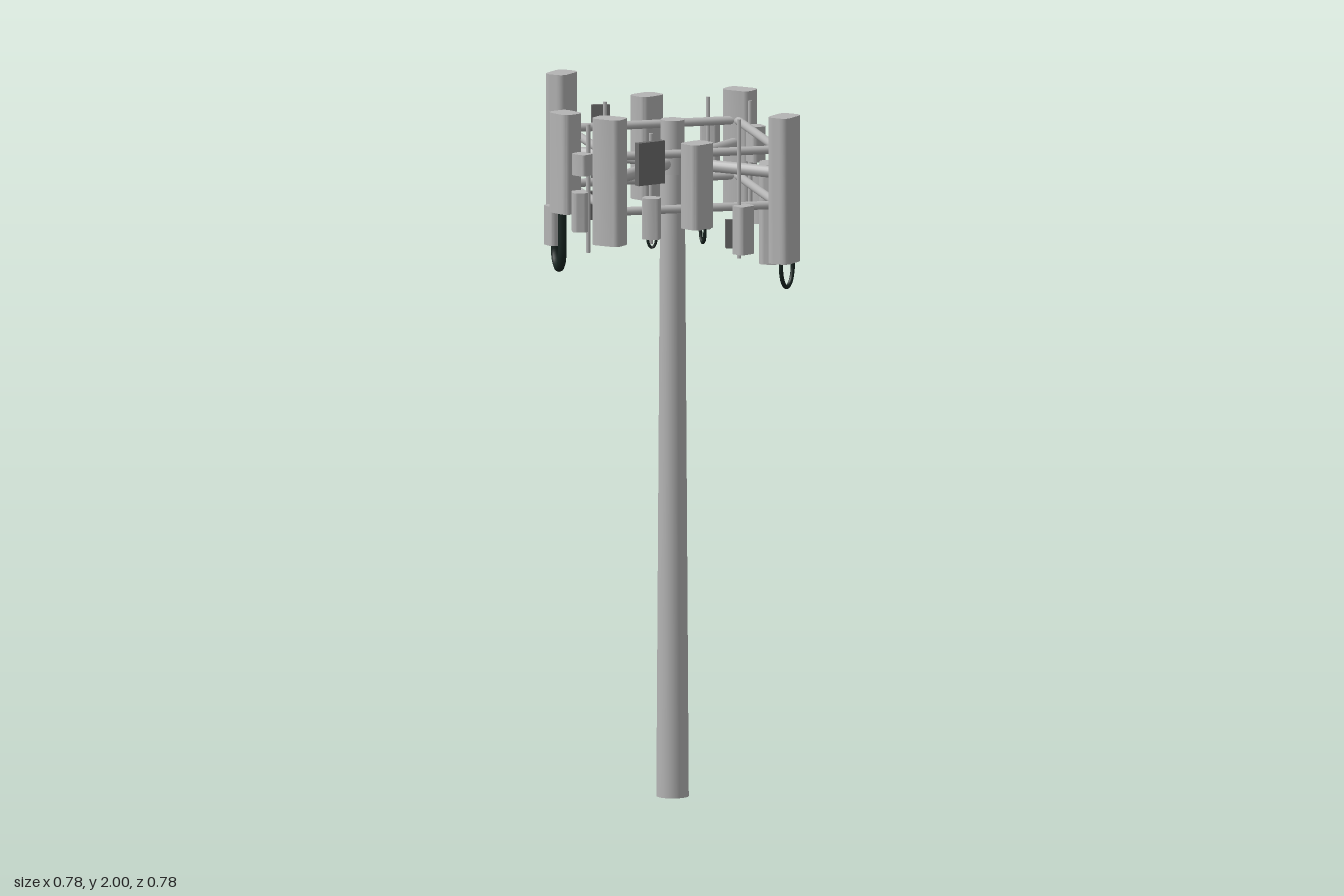
import * as THREE from 'three';
import { toCreasedNormals } from 'three/addons/utils/BufferGeometryUtils.js';

export function createModel() {
  const model = new THREE.Group();
  model.name = 'antennaMast';
  const mat = (name, color) => {
    const m = new THREE.MeshStandardMaterial({ color });
    m.name = name;
    return m;
  };
  const steel = mat('lightGreySteel', 0xb4b4b4);
  const dark = mat('darkGreyUnit', 0x6c6c6c);
  const rubber = mat('blackCable', 0x16231f);
  const rad = THREE.MathUtils.degToRad;

  const add = (name, geometry, material) => {
    const mesh = new THREE.Mesh(geometry, material);
    mesh.name = name;
    model.add(mesh);
    return mesh;
  };

  // Round bar between two points
  const bar = (name, a, b, r, sides = 16) => {
    const p = new THREE.Vector3(...a), q = new THREE.Vector3(...b);
    const mesh = add(name, new THREE.CylinderGeometry(r, r, p.distanceTo(q), sides), steel);
    mesh.position.copy(p).add(q).multiplyScalar(0.5);
    mesh.quaternion.setFromUnitVectors(new THREE.Vector3(0, 1, 0), q.sub(p).normalize());
  };

  // Upright housing with rounded vertical edges; yaw is where its face points
  const housing = (name, x, z, w, d, y0, y1, yaw, r = 0.02) => {
    const s = new THREE.Shape(), a = w / 2, b = d / 2;
    s.moveTo(-a + r, -b);
    s.lineTo(a - r, -b);
    s.quadraticCurveTo(a, -b, a, -b + r);
    s.lineTo(a, b - r);
    s.quadraticCurveTo(a, b, a - r, b);
    s.lineTo(-a + r, b);
    s.quadraticCurveTo(-a, b, -a, b - r);
    s.lineTo(-a, -b + r);
    s.quadraticCurveTo(-a, -b, -a + r, -b);
    const g = new THREE.ExtrudeGeometry(s, { depth: y1 - y0, bevelEnabled: false, curveSegments: 5 });
    g.rotateX(-Math.PI / 2);
    const mesh = add(name, toCreasedNormals(g, 0.6), steel);
    mesh.position.set(x, y0, z);
    mesh.rotation.y = rad(yaw);
  };

  // Dark flat unit
  const plate = (x, z, w, d, y0, y1, yaw) => {
    const mesh = add('darkUnit', new THREE.BoxGeometry(w, y1 - y0, d), dark);
    mesh.position.set(x, (y0 + y1) / 2, z);
    mesh.rotation.y = rad(yaw);
  };

  // Cable hanging in a U between two points
  const cable = (a, b, bottom, r) => {
    const mix = (t) => [a[0] + (b[0] - a[0]) * t, a[2] + (b[2] - a[2]) * t];
    const low = Math.min(a[1], b[1]), h = low - bottom;
    const at = (t, y) => new THREE.Vector3(mix(t)[0], y, mix(t)[1]);
    const curve = new THREE.CatmullRomCurve3([
      at(0, a[1]), at(0.02, low - h * 0.45), at(0.2, bottom + h * 0.16), at(0.5, bottom),
      at(0.8, bottom + h * 0.16), at(0.98, low - h * 0.45), at(1, b[1]),
    ]);
    add('cable', new THREE.TubeGeometry(curve, 32, r, 8), rubber);
  };

  // Tapered pole with collar
  const cz = 0.01;
  add('pole', new THREE.CylinderGeometry(0.033, 0.045, 1.9, 32), steel).position.set(0, 0.95, cz);
  add('collar', new THREE.CylinderGeometry(0.042, 0.042, 0.06, 24), steel).position.set(0, 1.78, cz);

  // Square frame: four arms and two rings of rails
  const corners = [[0, 0.345], [0.34, cz], [0, -0.345], [-0.34, cz]];
  corners.forEach(([x, z], i) => {
    const [nx, nz] = corners[(i + 1) % 4];
    bar('arm', [0, 1.78, cz], [x, 1.78, z], 0.017);
    for (const y of [1.69, 1.845]) bar('rail', [x, y, z], [nx, y, nz], 0.012);
  });

  // Corner antennas
  for (const [x, z, y0, y1, yaw] of [
    [0, 0.355, 1.6, 1.955, 0], [0.357, 0.008, 1.53, 1.94, 90],
    [0, -0.36, 1.61, 1.93, 180], [-0.357, 0.008, 1.62, 2.0, -90],
  ]) housing('cornerAntenna', x, z, 0.089, 0.065, y0, y1, yaw, 0.023);

  // Side antennas with brackets to the rails
  for (const [x, z, y0, y1, yaw] of [
    [-0.205, -0.2, 1.63, 1.92, -107], [0.197, -0.194, 1.485, 1.765, 120],
    [0.203, 0.223, 1.645, 1.883, 75], [-0.253, 0.165, 1.64, 1.92, -20],
  ]) {
    housing('sideAntenna', x, z, 0.082, 0.066, y0, y1, yaw, 0.022);
    const k = (Math.abs(x) + Math.abs(z) - 0.345) / 2;
    const y = y1 < 1.8 ? 1.69 : 1.845;
    bar('bracket', [x, y, z], [x - Math.sign(x) * k, y, z - Math.sign(z) * k], 0.008, 8);
  }

  // Thin mounting pipes
  for (const [x, z, y0, y1] of [
    [-0.07, -0.305, 1.55, 1.91], [-0.275, -0.09, 1.55, 1.91], [0.065, -0.305, 1.55, 1.91],
    [0.258, -0.115, 1.6, 1.91], [0.277, 0.119, 1.55, 1.94], [0.092, 0.286, 1.6, 1.91],
    [-0.13, 0.25, 1.55, 1.91], [-0.316, 0.071, 1.53, 1.9],
  ]) bar('mountPipe', [x, y0, z], [x, y1, z], 0.006, 10);

  // Small radio units
  for (const [x, z, w, d, y0, y1, yaw] of [
    [-0.08, -0.333, 0.052, 0.044, 1.72, 1.83, 195], [-0.098, -0.315, 0.05, 0.04, 1.535, 1.655, -115],
    [0.082, -0.332, 0.056, 0.044, 1.565, 1.7, 180], [0.105, -0.267, 0.05, 0.044, 1.75, 1.85, 150],
    [0.283, -0.12, 0.055, 0.044, 1.77, 1.865, 100], [0.293, 0.123, 0.055, 0.044, 1.565, 1.7, 75],
    [0.11, 0.313, 0.05, 0.045, 1.62, 1.735, 20], [-0.152, 0.258, 0.052, 0.044, 1.61, 1.72, -55],
    [-0.138, 0.268, 0.05, 0.044, 1.77, 1.83, -10], [-0.336, 0.085, 0.05, 0.045, 1.53, 1.64, -30],
    [-0.318, 0.09, 0.04, 0.034, 1.71, 1.8, -15],
  ]) housing('radioUnit', x, z, w, d, y0, y1, yaw, 0.014);

  // Dark flat units
  plate(0.1, 0.305, 0.088, 0.018, 1.77, 1.89, 65);
  plate(-0.288, -0.1, 0.09, 0.016, 1.58, 1.66, 63);
  plate(-0.292, -0.095, 0.05, 0.016, 1.69, 1.73, 40);
  plate(-0.292, -0.095, 0.05, 0.016, 1.83, 1.9, 40);
  plate(0.266, 0.13, 0.045, 0.014, 1.58, 1.66, 40);

  // Hanging cables
  cable([-0.33, 1.54, 0.09], [-0.265, 1.65, 0.162], 1.475, 0.012);
  cable([0.365, 1.54, -0.025], [0.365, 1.54, 0.04], 1.46, 0.006);
  cable([-0.108, 1.545, -0.328], [-0.08, 1.56, -0.305], 1.497, 0.005);
  cable([0.1, 1.63, 0.318], [0.122, 1.63, 0.308], 1.595, 0.004);
  cable([-0.22, 1.64, -0.215], [-0.19, 1.64, -0.185], 1.6, 0.005);
  return model;
}
